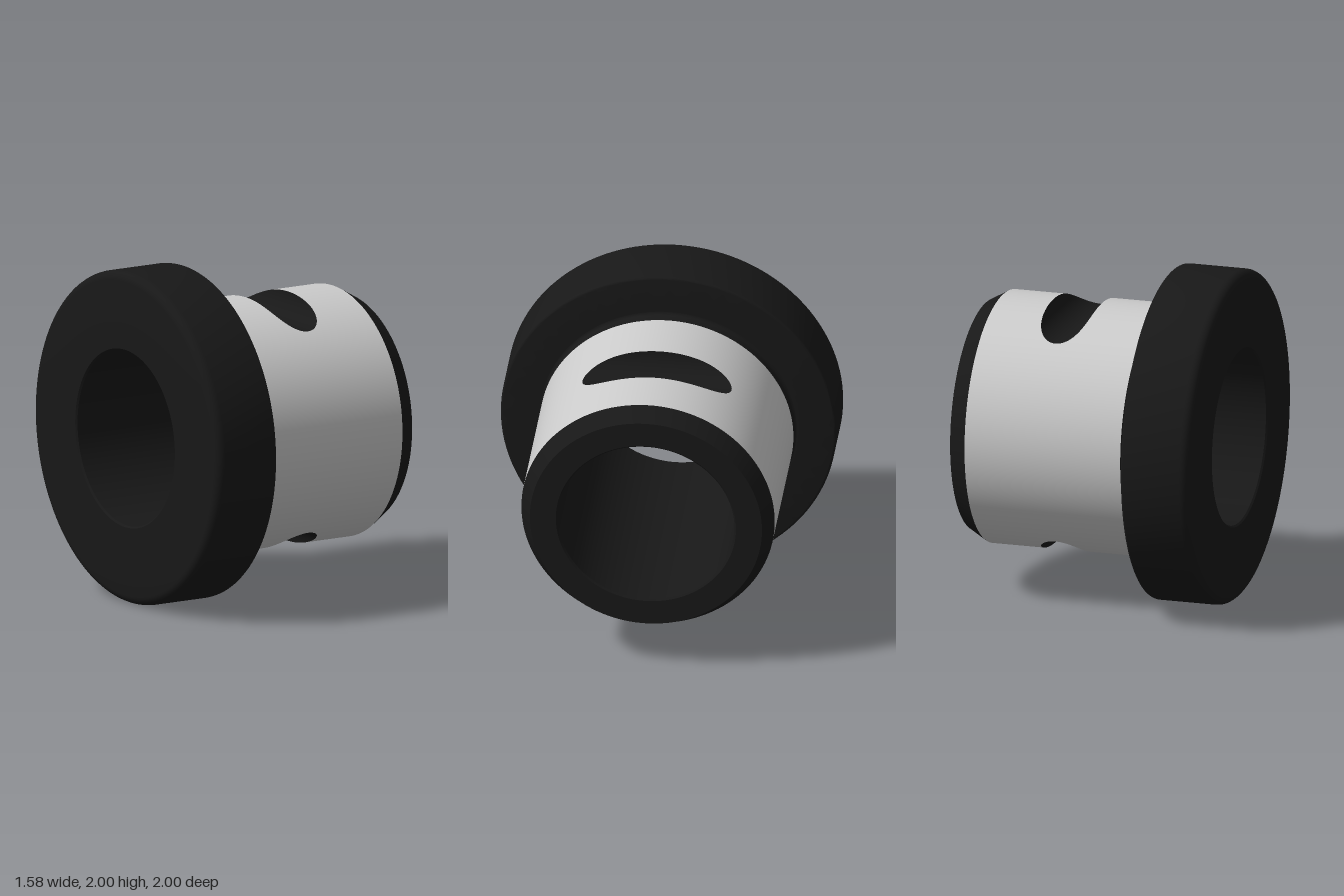
import * as THREE from 'three';
import { mergeGeometries, toCreasedNormals } from 'three/addons/utils/BufferGeometryUtils.js';

const R = 0.755, BORE = 0.527;            // barrel and bore radii
const X0 = -0.29, X1 = 0.68;              // barrel ends along the axis
const GX = 0.215, GY = 0.76, GR = 0.15;   // cross groove centre and radius
const T = Math.acos((GY - GR) / R);       // half angle the groove spans on the barrel

// Ring turned about the x axis from [x, radius] points
function turned(points) {
  const profile = points.map(([x, r]) => new THREE.Vector2(r, x));
  const geometry = new THREE.LatheGeometry(profile, 128).rotateZ(-Math.PI / 2);
  return toCreasedNormals(geometry, 0.5);
}

// Quarter-round corner as [x, radius] points
function corner(cx, cr, radius, from, to, steps = 6) {
  return Array.from({ length: steps + 1 }, (_, i) => {
    const a = from + (to - from) * i / steps;
    return [cx + radius * Math.cos(a), cr + radius * Math.sin(a)];
  });
}

// Grid surface; fn(u, v) gives a point and its normal
function patch(nu, nv, fn) {
  const pos = [], nor = [], index = [];
  for (let i = 0; i <= nu; i++) {
    for (let j = 0; j <= nv; j++) {
      const [p, n] = fn(i / nu, j / nv);
      pos.push(...p);
      nor.push(...n);
      if (i < nu && j < nv) {
        const a = i * (nv + 1) + j, b = a + nv + 1;
        index.push(a, a + 1, b, b, a + 1, b + 1);
      }
    }
  }
  const geometry = new THREE.BufferGeometry();
  geometry.setAttribute('position', new THREE.Float32BufferAttribute(pos, 3));
  geometry.setAttribute('normal', new THREE.Float32BufferAttribute(nor, 3));
  geometry.setIndex(index);
  return geometry;
}

const onBarrel = (x, t) => [
  [x, R * Math.cos(t), R * Math.sin(t)],
  [0, Math.cos(t), Math.sin(t)],
];
// Angle around the groove's own axis where it meets the barrel at angle t
const grooveAngle = (t) => Math.acos(Math.min(1, (GY - R * Math.cos(t)) / GR));
const grooveHalfWidth = (t) => GR * Math.sin(grooveAngle(t));

// Upper half of the barrel skin, open where the groove cuts it
function halfBarrel() {
  const lerp = THREE.MathUtils.lerp;
  const slotT = (v) => T * Math.sin((v - 0.5) * Math.PI);
  return mergeGeometries([
    patch(1, 20, (u, v) => onBarrel(lerp(X0, X1, u), lerp(T, Math.PI / 2, v))),
    patch(1, 20, (u, v) => onBarrel(lerp(X0, X1, u), lerp(-Math.PI / 2, -T, v))),
    patch(1, 48, (u, v) => onBarrel(lerp(X0, GX - grooveHalfWidth(slotT(v)), u), slotT(v))),
    patch(1, 48, (u, v) => onBarrel(lerp(GX + grooveHalfWidth(slotT(v)), X1, u), slotT(v))),
  ]);
}

// Half-round groove running straight across the top
function grooveSurface() {
  return patch(48, 1, (u, v) => {
    const a = 2 * u - 1;
    const t = T * Math.sin((1 - Math.abs(a)) * Math.PI / 2);
    const phi = Math.sign(a) * grooveAngle(t);
    return [
      [GX + GR * Math.sin(phi), R * Math.cos(t), R * Math.sin(t) * (2 * v - 1)],
      [-Math.sin(phi), Math.cos(phi), 0],
    ];
  });
}

export function createModel() {
  const grey = new THREE.MeshStandardMaterial({ color: 0xcccccc });
  const black = new THREE.MeshStandardMaterial({ color: 0x181818 });
  const body = new THREE.Group();
  body.name = 'flangedBushing';
  const add = (name, geometry, material) => {
    const mesh = new THREE.Mesh(geometry, material);
    mesh.name = name;
    body.add(mesh);
    return mesh;
  };
  const PI = Math.PI;

  // Flange with rounded rims
  add('flange', turned([
    [-0.79, BORE + 0.01],
    ...corner(-0.735, 0.945, 0.055, PI, PI / 2),
    ...corner(-0.385, 0.985, 0.015, PI / 2, 0, 4),
    [-0.37, 0.765],
  ]), black);

  // Relief neck with a small fillet against the flange
  add('reliefNeck', turned([
    ...corner(-0.35, 0.765, 0.02, PI, 1.5 * PI, 4),
    [-0.305, 0.745],
    [X0, R],
  ]), black);

  // Chamfered nose and its end face
  add('noseChamfer', turned([[X1, R], [0.79, 0.692], [0.79, BORE + 0.01]]), black);

  // Through bore with lightly broken edges
  add('bore', turned([
    [0.79, BORE + 0.01], [0.78, BORE], [-0.78, BORE], [-0.79, BORE + 0.01],
  ]), black);

  // Barrel skin and grooves, above and below
  for (const [side, angle] of [['upper', 0], ['lower', PI]]) {
    add(side + 'Barrel', halfBarrel(), grey).rotation.x = angle;
    add(side + 'Groove', grooveSurface(), black).rotation.x = angle;
  }

  body.position.y = 1;
  const model = new THREE.Group();
  model.name = 'bushing';
  model.add(body);
  return model;
}
